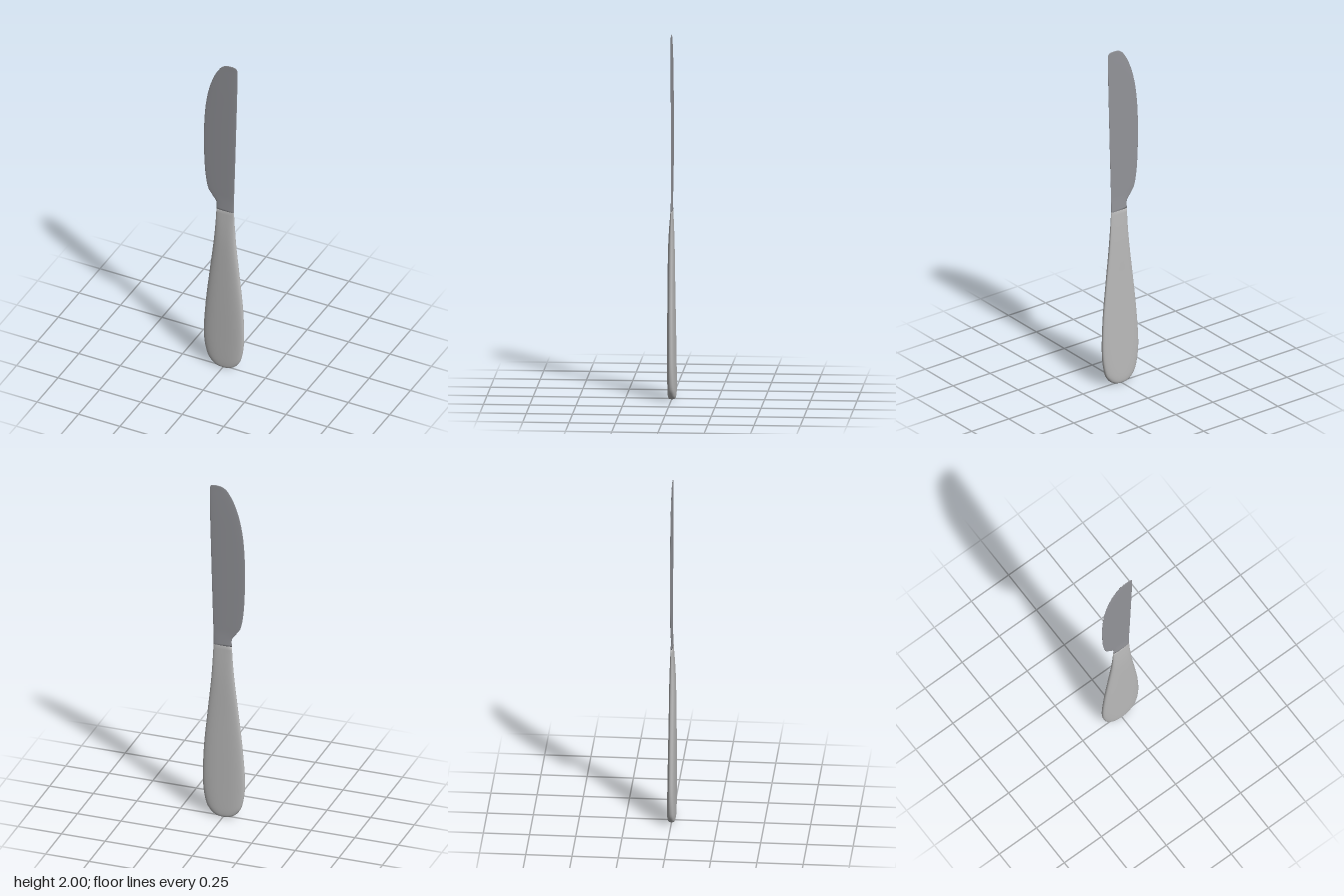
import * as THREE from 'three';

const handleMat = new THREE.MeshStandardMaterial({ color: 0xbababa });
handleMat.name = 'light grey handle';
const bladeMat = new THREE.MeshStandardMaterial({ color: 0x939499 });
bladeMat.name = 'steel grey blade';

// Smooth loft through rows of [y, left edge x, right edge x, front z, back z].
// The cross-section is a superellipse; a larger power gives a squarer section.
function loft(name, rows, material, power, sides = 40, stepsPerRow = 5) {
  const spline = (f) => new THREE.CatmullRomCurve3(rows.map(f), false, 'catmullrom', 0.5);
  const widths = spline((r) => new THREE.Vector3(r[1], r[0], r[2]));
  const depths = spline((r) => new THREE.Vector3(r[3], r[0], r[4]));
  const steps = (rows.length - 1) * stepsPerRow;
  const round = (v) => Math.sign(v) * Math.pow(Math.abs(v), 2 / power);
  const pos = [], idx = [];

  for (let j = 0; j <= steps; j++) {
    const w = widths.getPoint(j / steps), d = depths.getPoint(j / steps);
    const mid = (w.x + w.z) / 2, half = (w.z - w.x) / 2;
    for (let i = 0; i < sides; i++) {
      const t = (i / sides) * Math.PI * 2;
      const s = round(Math.sin(t));
      pos.push(mid + half * round(Math.cos(t)), w.y, s > 0 ? s * d.z : -s * d.x);
    }
  }
  for (let j = 0; j < steps; j++) {
    for (let i = 0; i < sides; i++) {
      const a = j * sides + i, b = j * sides + (i + 1) % sides;
      idx.push(a, b, b + sides, a, b + sides, a + sides);
    }
  }
  // End caps
  const top = steps * sides;
  for (let i = 1; i < sides - 1; i++) {
    idx.push(0, i + 1, i, top, top + i, top + i + 1);
  }
  const geo = new THREE.BufferGeometry();
  geo.setAttribute('position', new THREE.Float32BufferAttribute(pos, 3));
  geo.setIndex(idx);
  geo.computeVertexNormals();
  const mesh = new THREE.Mesh(geo, material);
  mesh.name = name;
  return mesh;
}

export function createModel() {
  const knife = new THREE.Group();
  knife.name = 'tableKnife';

  // Handle: broad rounded butt narrowing to a flat neck
  knife.add(loft('handle', [
    [0.0, -0.025, 0.025, 0.012, -0.014],
    [0.008, -0.05, 0.05, 0.019, -0.021],
    [0.03, -0.078, 0.078, 0.022, -0.024],
    [0.08, -0.104, 0.104, 0.023, -0.024],
    [0.2, -0.12, 0.12, 0.023, -0.022],
    [0.4, -0.108, 0.115, 0.023, -0.019],
    [0.6, -0.086, 0.096, 0.022, -0.016],
    [0.8, -0.062, 0.075, 0.02, -0.014],
    [0.92, -0.051, 0.066, 0.015, -0.011],
    [1.035, -0.045, 0.06, 0.006, -0.006],
  ], handleMat, 2.7));

  // Blade: straight spine on the right, curved edge on the left
  knife.add(loft('blade', [
    [1.035, -0.045, 0.06, 0.006, -0.006],
    [1.08, -0.046, 0.06, 0.004, -0.004],
    [1.115, -0.07, 0.061, 0.003, -0.003],
    [1.16, -0.097, 0.062, 0.003, -0.003],
    [1.26, -0.113, 0.065, 0.003, -0.003],
    [1.4, -0.12, 0.069, 0.003, -0.003],
    [1.55, -0.12, 0.073, 0.003, -0.003],
    [1.7, -0.11, 0.077, 0.003, -0.003],
    [1.82, -0.088, 0.08, 0.003, -0.003],
    [1.91, -0.057, 0.081, 0.0025, -0.0025],
    [1.965, -0.026, 0.081, 0.002, -0.002],
    [1.985, -0.008, 0.08, 0.002, -0.002],
    [1.996, 0.01, 0.073, 0.002, -0.002],
    [2.0, 0.03, 0.058, 0.0015, -0.0015],
  ], bladeMat, 2.5));

  return knife;
}
